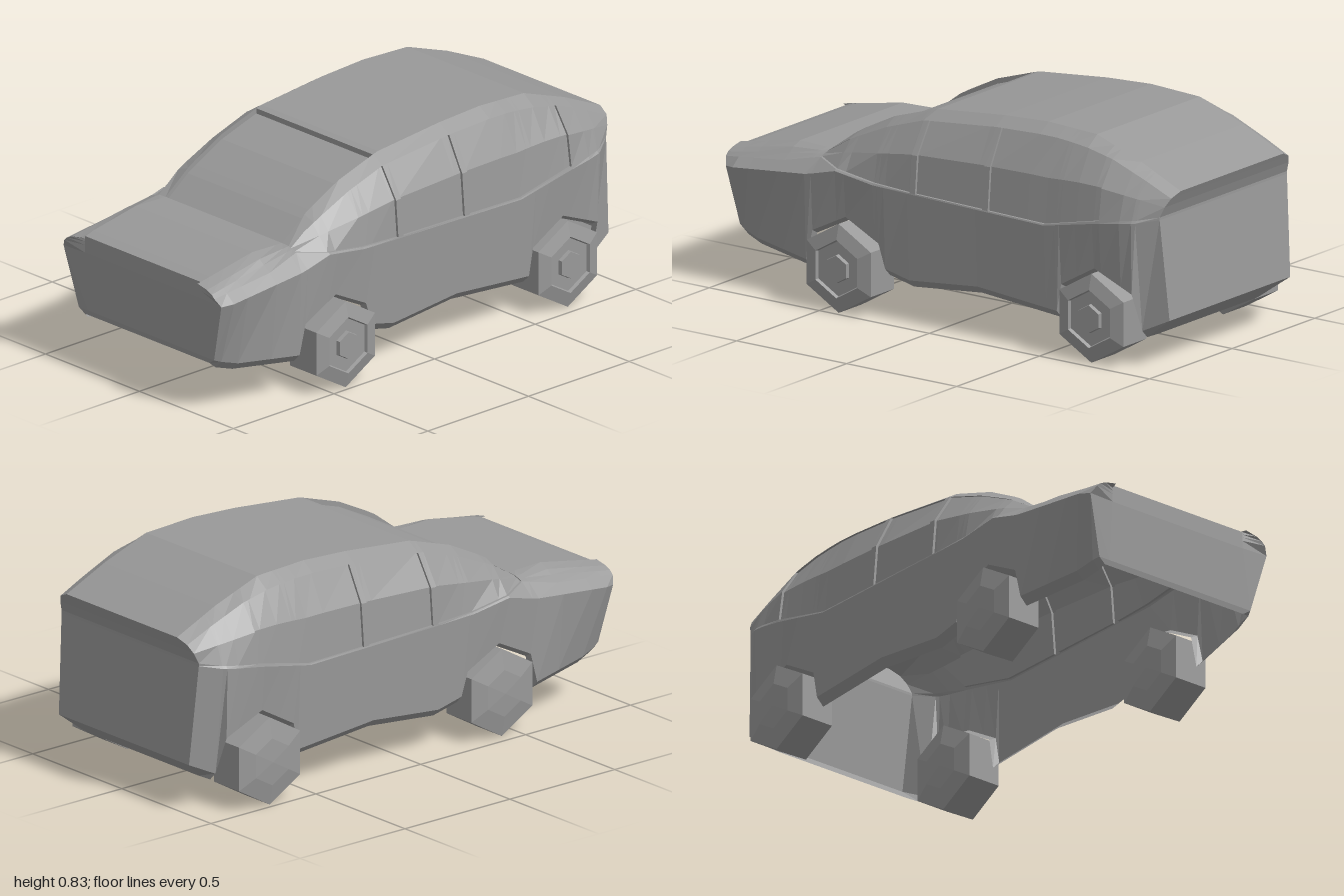
import * as THREE from 'three';

const paint = new THREE.MeshStandardMaterial({ color: 0x999999, flatShading: true, side: THREE.DoubleSide });

// Value of a polyline [[x, v], ...] at x
function at(line, x) {
  if (x <= line[0][0]) return line[0][1];
  for (let i = 1; i < line.length; i++) {
    const [x0, v0] = line[i - 1], [x1, v1] = line[i];
    if (x <= x1) return v0 + (v1 - v0) * (x - x0) / (x1 - x0);
  }
  return line[line.length - 1][1];
}

// Heights along the length of the car
const roofY = [[-1, .515], [-.73, .565], [-.58, .56], [-.46, .65], [-.3, .73], [-.11, .79], [.2, .82], [.4, .83], [.62, .82], [.82, .75], [1, .67]];
const shoulderY = [[-1, .505], [-.73, .55], [-.58, .558], [-.46, .63], [-.3, .7], [-.13, .755], [.2, .787], [.45, .797], [.6, .785], [.73, .757], [.85, .71], [1, .65]];
const beltY = [[-1, .48], [-.73, .512], [-.58, .545], [-.47, .53], [-.3, .507], [-.14, .5], [.48, .487], [.72, .54], [.85, .56], [1, .58]];
const waistY = [[-1, .45], [-.6, .49], [-.47, .524], [-.3, .5], [-.14, .495], [.48, .482], [.72, .53], [.85, .55], [1, .57]];
const sillY = [[-1, .22], [-.97, .22], [-.87, .19], [-.61, .165], [-.58, .28], [-.43, .355], [-.28, .28], [-.25, .19], [-.14, .165],
  [.17, .195], [.53, .165], [.55, .27], [.7, .355], [.87, .285], [.885, .14], [1, .19]];
// Half widths along the length of the car
const shoulderZ = [[-1, .36], [-.58, .345], [-.47, .36], [.7, .365], [1, .355]];
const midZ = [[-1, .385], [-.58, .365], [-.47, .4], [-.3, .425], [-.13, .435], [.73, .43], [.85, .41], [1, .375]];
const beltZ = [[-1, .4], [-.73, .405], [-.58, .385], [-.47, .44], [-.13, .447], [.73, .447], [.85, .44], [1, .385]];
const waistZ = [[-1, .42], [-.94, .44], [-.5, .447], [.8, .45], [.87, .44], [1, .385]];
const sillZ = [[-1, .36], [-.61, .435], [.87, .435], [.885, .39], [1, .365]];

// One half of a cross-section, from the sill lip up to the roof rail
function section(x, glass = 0, screen = 0) {
  const cut = glass * .01;
  const arch = (x > -.6 && x < -.26) || (x > .54 && x < .88);
  const b = at(beltY, x), s = at(shoulderY, x), bz = at(beltZ, x), sz = at(shoulderZ, x);
  const sy = at(sillY, x), z = at(sillZ, x), top = at(roofY, x);
  const rows = [
    [x, sy - (arch ? .016 : .03), z - .03], [x, sy, z],
    [x, at(waistY, x), at(waistZ, x)], [x, b, bz], [x, b, bz - cut],
    [x, b + (s - b) * .55, at(midZ, x) - cut], [x, s, sz - cut], [x, s, sz],
    [x, top, .31], [x, top - screen * .02, .31],
  ];
  // Shape the ends of the body
  if (x === -1) {
    [-.96, -.965, -.985].forEach((v, i) => { rows[i][0] = v; });
    rows[0][1] = .2;
    rows[9][0] = -.98;
  }
  if (x === 1) {
    [.89, .99, .96, .96, .96, .975, .99, .99].forEach((v, i) => { rows[i][0] = v; });
    rows[0] = [.89, .11, .3];
  }
  return rows;
}

function addQuad(out, a, b, c, d) {
  const v = [a, b, c, d].map(p => new THREE.Vector3(...p));
  for (const t of [[0, 1, 2], [0, 2, 3]]) {
    const [p, q, r] = t.map(i => v[i]);
    const n = q.clone().sub(p).cross(r.clone().sub(p));
    if (n.length() > 1e-8) for (const k of [p, q, r]) out.push(k.x, k.y, k.z);
  }
}

function mesh(name, positions) {
  const g = new THREE.BufferGeometry();
  g.setAttribute('position', new THREE.Float32BufferAttribute(positions, 3));
  g.computeVertexNormals();
  const m = new THREE.Mesh(g, paint);
  m.name = name;
  return m;
}

const mirror = p => [p[0], p[1], -p[2]];

function createBody() {
  const body = new THREE.Group();
  body.name = 'body';
  // Stations: x, recessed side glass, recessed windscreen
  const stations = [
    [-1], [-.94], [-.87], [-.73], [-.61], [-.58], [-.58, 1, 1], [-.47, 1, 1], [-.43, 1, 1], [-.3, 1, 1], [-.28, 1, 1],
    [-.25, 1, 1], [-.14, 1, 1], [-.13, 1, 1], [-.13], [-.105], [-.105, 1], [.17, 1], [.2, 1], [.2], [.225], [.225, 1],
    [.4, 1], [.48, 1], [.53, 1], [.55, 1], [.62, 1], [.7, 1], [.73, 1], [.73], [.82], [.87], [.885], [1],
  ].map(s => section(...s));

  // Bands of the open-bottomed shell, by row range
  const bands = { sill: [0, 1], lowerSide: [1, 3], windowBand: [3, 7], roofRail: [7, 9] };
  for (const [name, [from, to]] of Object.entries(bands)) {
    const left = [], right = [];
    for (let i = 0; i + 1 < stations.length; i++) {
      const p = stations[i], q = stations[i + 1];
      for (let j = from; j < to; j++) {
        const quad = [p[j], q[j], q[j + 1], p[j + 1]];
        addQuad(left, ...quad);
        addQuad(right, ...quad.map(mirror).reverse());
      }
    }
    body.add(mesh(name + 'Near', left), mesh(name + 'Far', right));
  }

  // Bonnet, recessed windscreen and roof strip
  const top = [];
  for (let i = 0; i + 1 < stations.length; i++) {
    const p = stations[i][9], q = stations[i + 1][9];
    addQuad(top, p, q, mirror(q), mirror(p));
  }
  body.add(mesh('bonnetAndRoof', top));

  // Nose panel, set back between the wing tips, and tail panel
  const nose = [], tail = [], first = stations[0], last = stations[stations.length - 1];
  const inner = p => [Math.max(p[0], -.98), p[1], Math.min(p[2], .31)];
  for (let j = 0; j < 9; j++) {
    const a = first[j], b = first[j + 1], c = inner(b), d = inner(a);
    addQuad(nose, a, b, c, d);
    addQuad(nose, d, c, mirror(c), mirror(d));
    addQuad(nose, ...[d, c, b, a].map(mirror));
    addQuad(tail, last[j + 1], last[j], mirror(last[j]), mirror(last[j + 1]));
  }
  body.add(mesh('nosePanel', nose), mesh('tailPanel', tail));
  return body;
}

// Six-sided wheel: shallow dome on one face, sloped rim and hub on the other
const wheelProfile = [[0, -.02], [.09, -.015], [.168, 0], [.168, .14], [.11, .155], [.105, .142], [.055, .142], [.052, .157], [0, .157]]
  .map(p => new THREE.Vector2(...p));
const wheelGeometry = new THREE.LatheGeometry(wheelProfile, 6).rotateX(Math.PI / 2);

export function createModel() {
  const car = new THREE.Group();
  car.name = 'car';
  car.add(createBody());
  for (const [name, x, z] of [
    ['frontWheelNear', -.425, .342], ['rearWheelNear', .703, .316],
    ['frontWheelFar', -.425, -.455], ['rearWheelFar', .703, -.48],
  ]) {
    const wheel = new THREE.Mesh(wheelGeometry, paint);
    wheel.name = name;
    wheel.position.set(x, .172, z);
    car.add(wheel);
  }
  return car;
}
